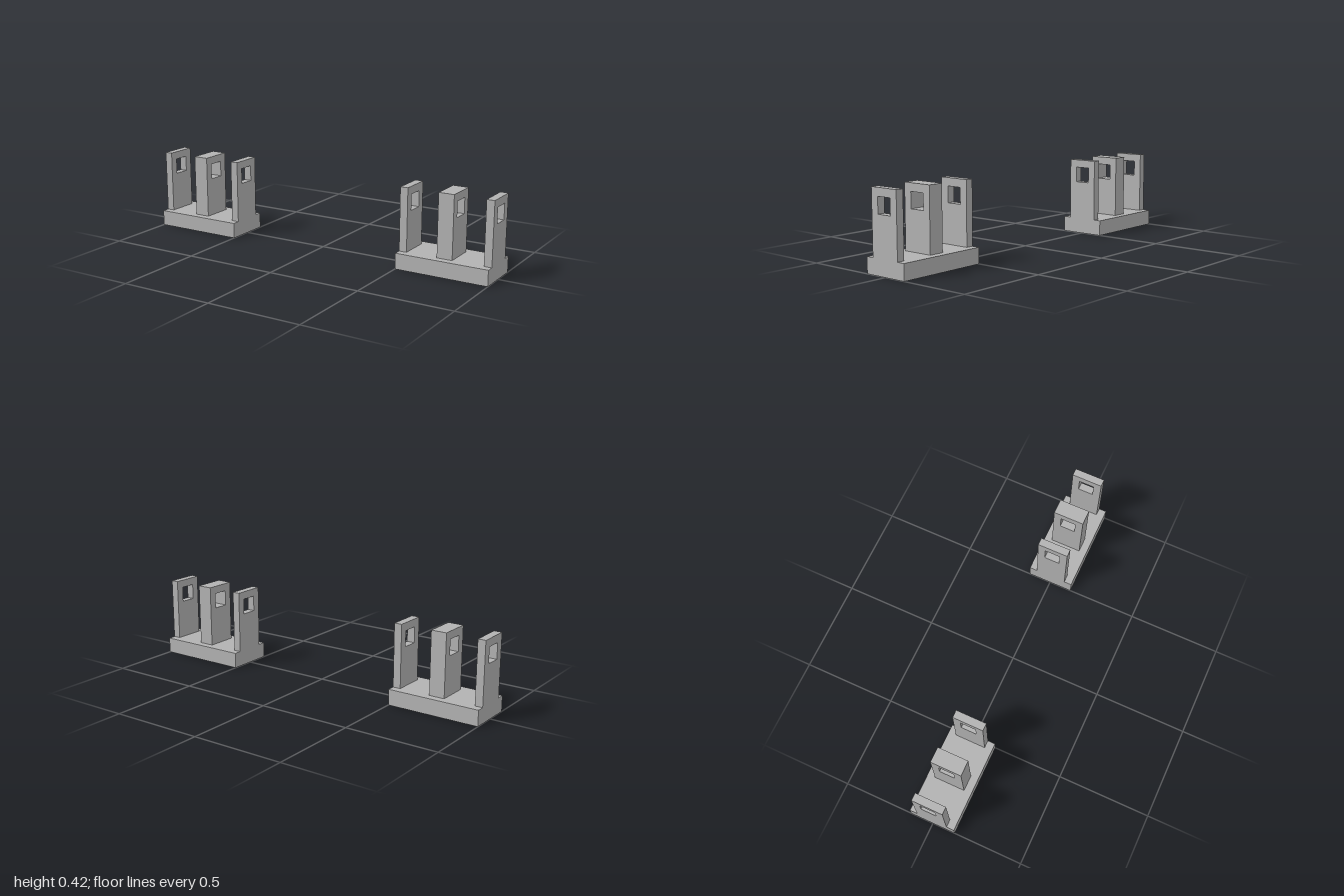
import * as THREE from 'three';

const U = 1 / 24; // design unit: all sizes are whole multiples of it

export function createModel() {
  const model = new THREE.Group();
  model.name = 'bracketPair';
  const grey = new THREE.MeshStandardMaterial({ color: 0xb2b2b2 });
  grey.name = 'plain grey';

  // Upright plate with a square hole, extruded along x and centred on it
  function uprightGeometry(thickness) {
    const shape = new THREE.Shape([
      new THREE.Vector2(-2 * U, 2 * U), new THREE.Vector2(2 * U, 2 * U),
      new THREE.Vector2(2 * U, 10 * U), new THREE.Vector2(-2 * U, 10 * U),
    ]);
    shape.holes.push(new THREE.Path([
      new THREE.Vector2(-U, 7 * U), new THREE.Vector2(-U, 9 * U),
      new THREE.Vector2(U, 9 * U), new THREE.Vector2(U, 7 * U),
    ]));
    const geometry = new THREE.ExtrudeGeometry(shape, { depth: thickness, bevelEnabled: false });
    return geometry.translate(0, 0, -thickness / 2).rotateY(Math.PI / 2);
  }

  const outer = uprightGeometry(U);
  const middle = uprightGeometry(2 * U);
  const base = new THREE.BoxGeometry(12 * U, 2 * U, 6 * U).translate(0, U, 0);

  // Two identical brackets, each a base with three pierced uprights
  for (const [name, x] of [['leftBracket', 0.75], ['rightBracket', -0.75]]) {
    const bracket = new THREE.Group();
    bracket.name = name;
    bracket.position.x = x;
    const add = (part, geometry, px) => {
      const mesh = new THREE.Mesh(geometry, grey);
      mesh.name = part;
      mesh.position.x = px;
      bracket.add(mesh);
    };
    add('base', base, 0);
    add('leftUpright', outer, 5.5 * U);
    add('middleUpright', middle, 0);
    add('rightUpright', outer, -5.5 * U);
    model.add(bracket);
  }
  return model;
}
